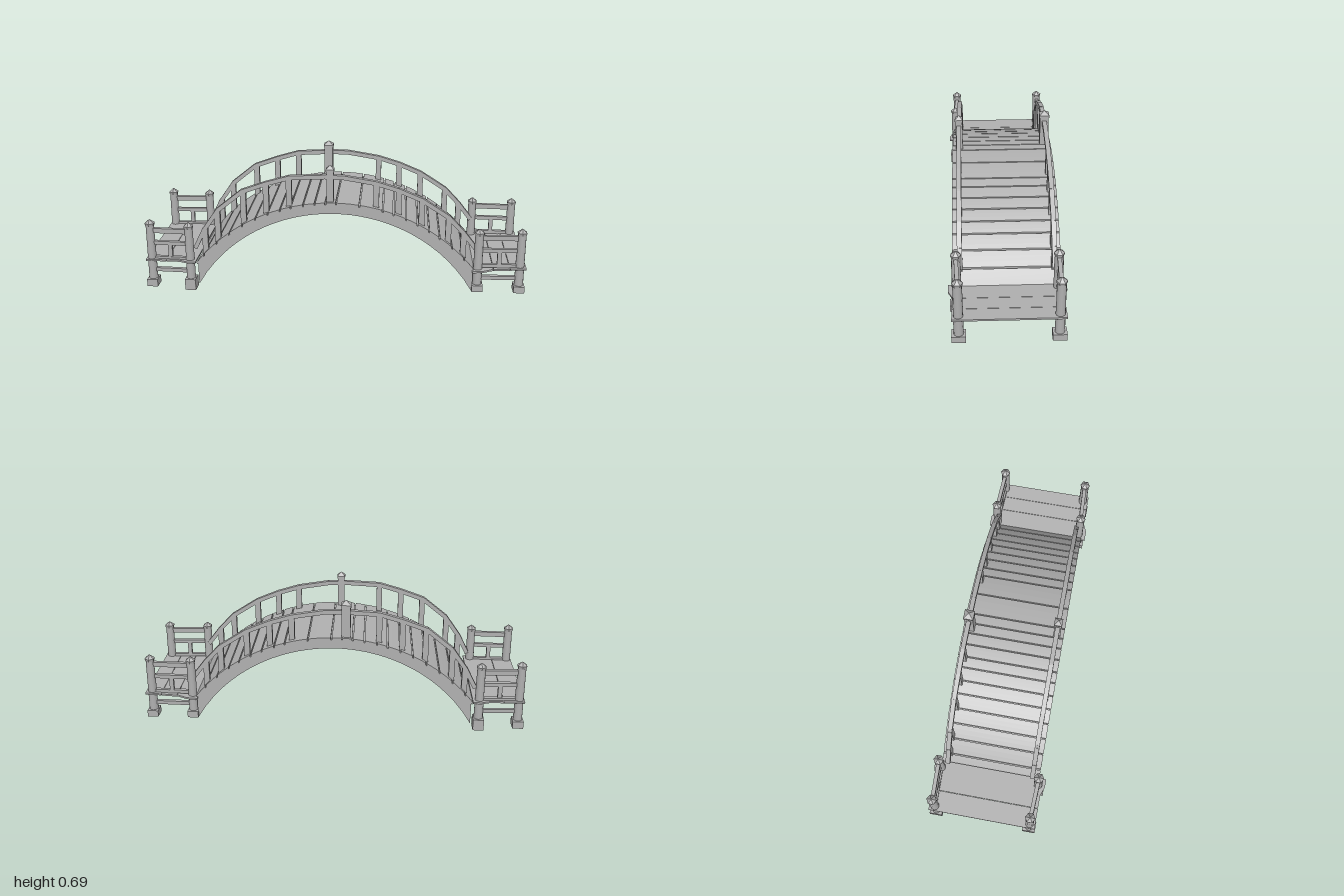
import * as THREE from 'three';

const stone = new THREE.MeshStandardMaterial({ color: 0xb0b0b0 });
stone.name = 'plain grey';

// Circular arcs of the walkway and of the underside of the beams
const deckY = (x) => 0.5 - 0.936 + Math.sqrt(0.936 ** 2 - x * x);
const soffitY = (x) => 0.44 - 0.837 + Math.sqrt(0.837 ** 2 - x * x);

export function createModel() {
  const model = new THREE.Group();
  model.name = 'archedFootbridge';

  function add(geometry, name, x = 0, y = 0, z = 0, parent = model) {
    const mesh = new THREE.Mesh(geometry, stone);
    mesh.name = name;
    mesh.position.set(x, y, z);
    parent.add(mesh);
    return mesh;
  }
  const box = (w, h, d) => new THREE.BoxGeometry(w, h, d);

  // Solid between two curves, extruded across the bridge
  function band(x0, x1, top, bottom, depth, steps) {
    const points = [];
    for (let i = 0; i <= steps; i++) {
      const x = x0 + ((x1 - x0) * i) / steps;
      points.push(new THREE.Vector2(x, bottom(x)));
    }
    for (let i = steps; i >= 0; i--) {
      const x = x0 + ((x1 - x0) * i) / steps;
      points.push(new THREE.Vector2(x, top(x)));
    }
    const g = new THREE.ExtrudeGeometry(new THREE.Shape(points), { depth, bevelEnabled: false });
    return g.translate(0, 0, -depth / 2);
  }

  // Square bar laid from a to b at depth z
  function bar(a, b, thick, depth, z, name) {
    const dx = b[0] - a[0], dy = b[1] - a[1];
    const m = add(box(Math.hypot(dx, dy) + thick * 0.3, thick, depth), name,
      (a[0] + b[0]) / 2, (a[1] + b[1]) / 2, z);
    m.rotation.z = Math.atan2(dy, dx);
  }

  // Curved side beams
  for (const s of [-1, 1]) {
    add(band(-0.725, 0.725, (x) => deckY(x) - 0.012, soffitY, 0.05, 32), 'archBeam', 0, 0, s * 0.237);
  }

  // Continuous deck sheet with planks above it
  add(band(-0.73, 0.73, (x) => deckY(x) - 0.011, (x) => deckY(x) - 0.022, 0.5, 32), 'deckSheet');
  const seams = [-0.735, -0.69, -0.62, -0.55, -0.48, -0.41, -0.345, -0.28, -0.225, -0.16, -0.1, -0.045,
    0.01, 0.13, 0.25, 0.305, 0.37, 0.43, 0.49, 0.545, 0.61, 0.675, 0.735];
  for (let i = 0; i < seams.length - 1; i++) {
    add(band(seams[i] + 0.003, seams[i + 1] - 0.003, deckY, (x) => deckY(x) - 0.014, 0.53, 3), 'deckPlank');
  }

  // Handrails, balusters and tall middle posts
  const rail = [[-0.74, 0.22], [-0.69, 0.32], [-0.61, 0.435], [-0.48, 0.54], [-0.355, 0.585], [-0.235, 0.62],
    [-0.05, 0.63], [0.05, 0.627], [0.215, 0.6], [0.33, 0.565], [0.45, 0.515], [0.59, 0.425], [0.67, 0.34], [0.74, 0.25]];
  function railY(x) {
    const i = Math.max(1, rail.findIndex((p) => p[0] >= x));
    const [a, b] = [rail[i - 1], rail[i]];
    return a[1] + ((b[1] - a[1]) * (x - a[0])) / (b[0] - a[0]);
  }
  for (const s of [-1, 1]) {
    const z = s * 0.228;
    for (let i = 1; i < rail.length; i++) bar(rail[i - 1], rail[i], 0.022, 0.024, z, 'handrail');
    for (const x of [-0.685, -0.615, -0.475, -0.355, -0.235, 0.215, 0.33, 0.45, 0.59, 0.67]) {
      const bottom = deckY(x) - 0.015, top = railY(x);
      add(box(0.03, top - bottom, 0.024), 'baluster', x, (top + bottom) / 2, z);
    }
    const x = s > 0 ? -0.022 : -0.065, w = s > 0 ? 0.036 : 0.046;
    add(box(w, 0.18, w), 'middlePost', x, 0.57, z);
    add(box(w + 0.006, 0.012, w + 0.006), 'middlePostCap', x, 0.666, z);
    const tip = new THREE.ConeGeometry((w + 0.006) * 0.707, 0.021, 4).toNonIndexed();
    tip.computeVertexNormals();
    add(tip.rotateY(Math.PI / 4), 'middlePostTip', x, 0.6825, z);
  }

  // Round post on a square footing, with a faceted cap
  function post(x, z, foot, footTop, top) {
    const g = new THREE.Group();
    g.name = 'landingPost';
    g.position.set(x, 0, z);
    model.add(g);
    add(box(0.057, footTop - foot, 0.068), 'footing', 0, (foot + footTop) / 2, 0, g);
    add(new THREE.CylinderGeometry(0.022, 0.024, top - 0.035 - footTop, 12), 'postShaft',
      0, (top - 0.035 + footTop) / 2, 0, g);
    const cap = new THREE.LatheGeometry([[0.0, 0], [0.024, 0], [0.027, 0.014], [0, 0.035]]
      .map(([r, y]) => new THREE.Vector2(r, y)), 6).toNonIndexed();
    cap.computeVertexNormals();
    add(cap, 'postCap', 0, top - 0.035, 0, g);
  }

  // Level landings with their posts and fences
  const landings = [
    { side: -1, inner: 0.765, outer: 0.973, zIn: 0.264, zOut: 0.255, half: 0.285, flare: 0.302, splits: [0.73, 0.89, 1],
      foot: [0, 0.01], footTop: [0.06, 0.05], top: [0.375, 0.383], y: 0.16, tilt: 0 },
    { side: 1, inner: 0.75, outer: 0.968, zIn: 0.245, zOut: 0.236, half: 0.267, flare: 0.287, splits: [0.72, 0.83, 0.915, 1],
      foot: [0.03, 0.025], footTop: [0.065, 0.06], top: [0.372, 0.375], y: 0.152, tilt: 0.06 },
  ];
  for (const L of landings) {
    const edge = (x) => (x < 0.775 ? L.flare : x < 0.82 ? L.flare + ((L.half - L.flare) * (x - 0.775)) / 0.045 : L.half);
    for (let i = 0; i < L.splits.length - 1; i++) {
      const a = L.splits[i] + (i ? 0.002 : 0), b = L.splits[i + 1];
      const xs = [a, ...[0.775, 0.82].filter((x) => x > a && x < b), b];
      const outline = [...xs.map((x) => [x, edge(x)]), ...xs.reverse().map((x) => [x, -edge(x)])]
        .map(([x, z]) => new THREE.Vector2((x - 0.865) * L.side, z));
      const slab = new THREE.ExtrudeGeometry(new THREE.Shape(outline), { depth: 0.009, bevelEnabled: false });
      const m = add(slab.rotateX(-Math.PI / 2), 'landingPlank', L.side * 0.865, L.y - 0.004, 0);
      m.rotation.z = L.tilt;
    }
    for (const s of [-1, 1]) {
      post(L.side * L.inner, s * L.zIn, L.foot[0], L.footTop[0], L.top[0]);
      post(L.side * L.outer, s * L.zOut, L.foot[1], L.footTop[1], L.top[1]);
      // Fence rails and the short upright between them
      const mid = (L.inner + L.outer) / 2, z = s * (L.zIn + L.zOut) / 2;
      for (const [y, h] of [[0.322, 0.026], [0.253, 0.02], [0.168, 0.018], [0.1, 0.02]]) {
        const m = add(box(L.outer - L.inner, h, 0.02), 'fenceRail', L.side * mid, y, z);
        m.rotation.y = Math.atan2(s * (L.zIn - L.zOut), L.outer - L.inner) * L.side;
      }
      add(box(0.022, 0.09, 0.018), 'fenceUpright', L.side * mid, 0.21, z);
    }
  }
  return model;
}
